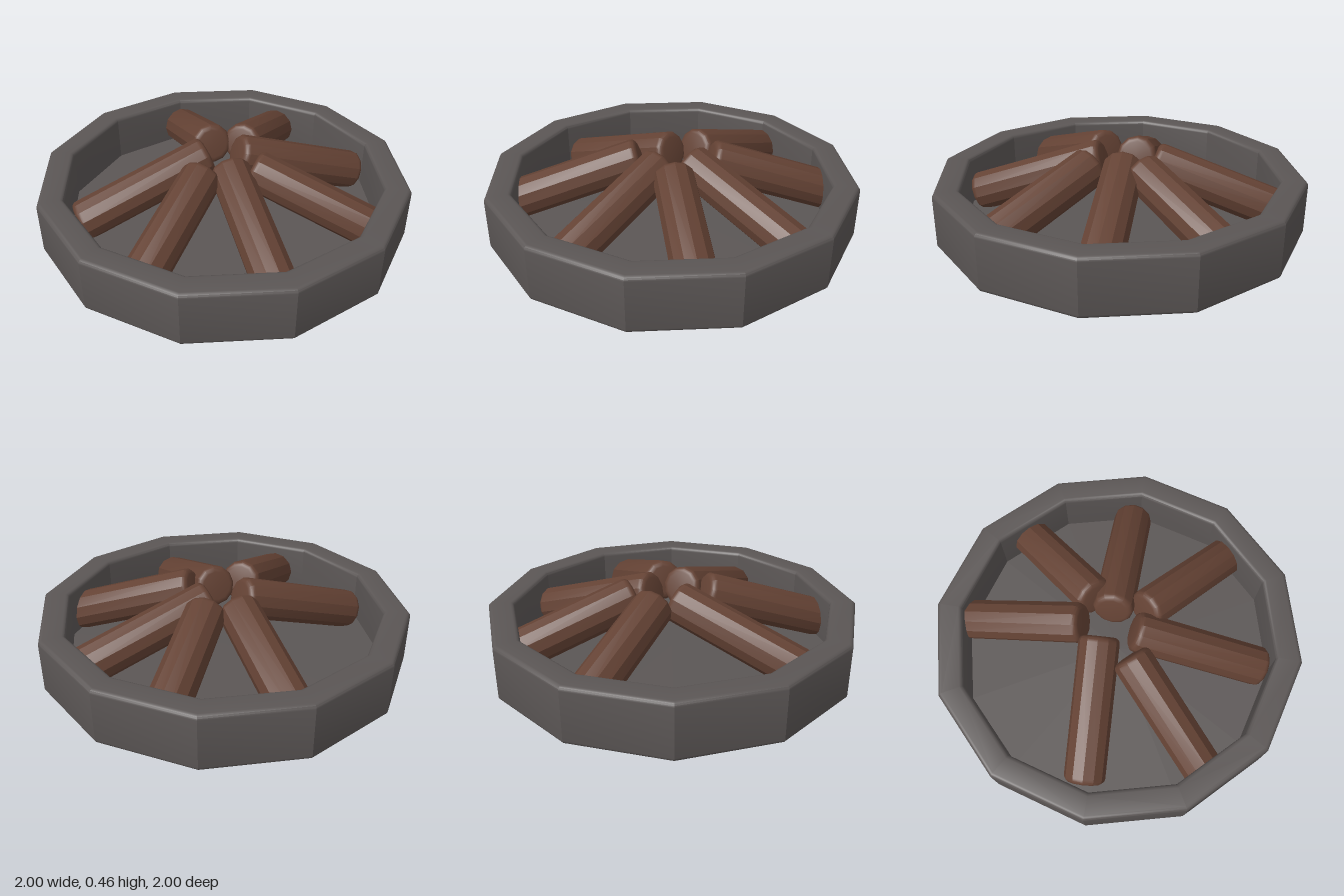
import * as THREE from 'three';
import { toCreasedNormals } from 'three/addons/utils/BufferGeometryUtils.js';

const SIDES = 12;
const stone = new THREE.MeshStandardMaterial({ color: 0x5b5655 });
const wood = new THREE.MeshStandardMaterial({ color: 0x644234 });

// Quarter-round corner points about (cx, cy), from angle a, turning by 90 degrees
function corner(cx, cy, r, a, steps = 4) {
  return Array.from({ length: steps + 1 }, (_, i) => {
    const t = a + (i / steps) * Math.PI / 2;
    return new THREE.Vector2(cx + r * Math.cos(t), cy + r * Math.sin(t));
  });
}

// Faceted solid of revolution: crisp sides, soft bevels
function turned(points) {
  return toCreasedNormals(new THREE.LatheGeometry(points, SIDES), 0.5);
}

// Twelve-sided dish with a bevelled rim and a sunken floor
function makeDish() {
  const outer = 1, inner = 0.86, top = 0.305, floor = 0.045, b = 0.022;
  const dish = new THREE.Mesh(turned([
    new THREE.Vector2(0, 0),
    ...corner(outer - b, b, b, -Math.PI / 2),
    ...corner(outer - b, top - b, b, 0),
    ...corner(inner + b, top - b, b, Math.PI / 2),
    new THREE.Vector2(inner, floor),
    new THREE.Vector2(0, floor),
  ]), stone);
  dish.name = 'firePitDish';
  return dish;
}

// Log along +y, starting at its raised inner end
function makeLogGeometry(radius, length) {
  const b = 0.032;
  return turned([
    new THREE.Vector2(0, 0),
    ...corner(radius - b, b, b, -Math.PI / 2),
    ...corner(radius - b, length - b, b, 0),
    new THREE.Vector2(0, length),
  ]);
}

// Inner tip (x, z) and a point on the outer end (x, z) for each log
const LOGS = [
  [0, -0.15, 0, -0.86],
  [0.13, -0.115, 0.57, -0.615],
  [0.06, -0.04, 0.85, -0.04],
  [0.095, 0.105, 0.635, 0.535],
  [0, 0.055, 0, 0.83],
  [-0.12, 0.07, -0.62, 0.565],
  [-0.03, -0.085, -0.845, -0.04],
];

export function createModel() {
  const model = new THREE.Group();
  model.name = 'firePit';
  model.add(makeDish());

  // Logs lean inward, raised at the centre and resting on the floor
  const radius = 0.11, tilt = 0.335;
  const geometry = makeLogGeometry(radius, 0.775);
  const logs = new THREE.Group();
  logs.name = 'logs';
  const up = new THREE.Vector3(0, 1, 0);
  LOGS.forEach(([x0, z0, x1, z1], i) => {
    const flat = new THREE.Vector3(x1 - x0, 0, z1 - z0).normalize();
    const axis = flat.clone().multiplyScalar(Math.cos(tilt)).addScaledVector(up, -Math.sin(tilt));
    const side = new THREE.Vector3().crossVectors(axis, up).normalize();
    const normal = new THREE.Vector3().crossVectors(side, axis);
    const log = new THREE.Mesh(geometry, wood);
    log.name = `log${i + 1}`;
    log.quaternion.setFromRotationMatrix(new THREE.Matrix4().makeBasis(side, axis, normal));
    log.position.set(x0, 0.366, z0).addScaledVector(flat, radius * Math.sin(tilt) - 0.005);
    logs.add(log);
  });
  model.add(logs);
  return model;
}
